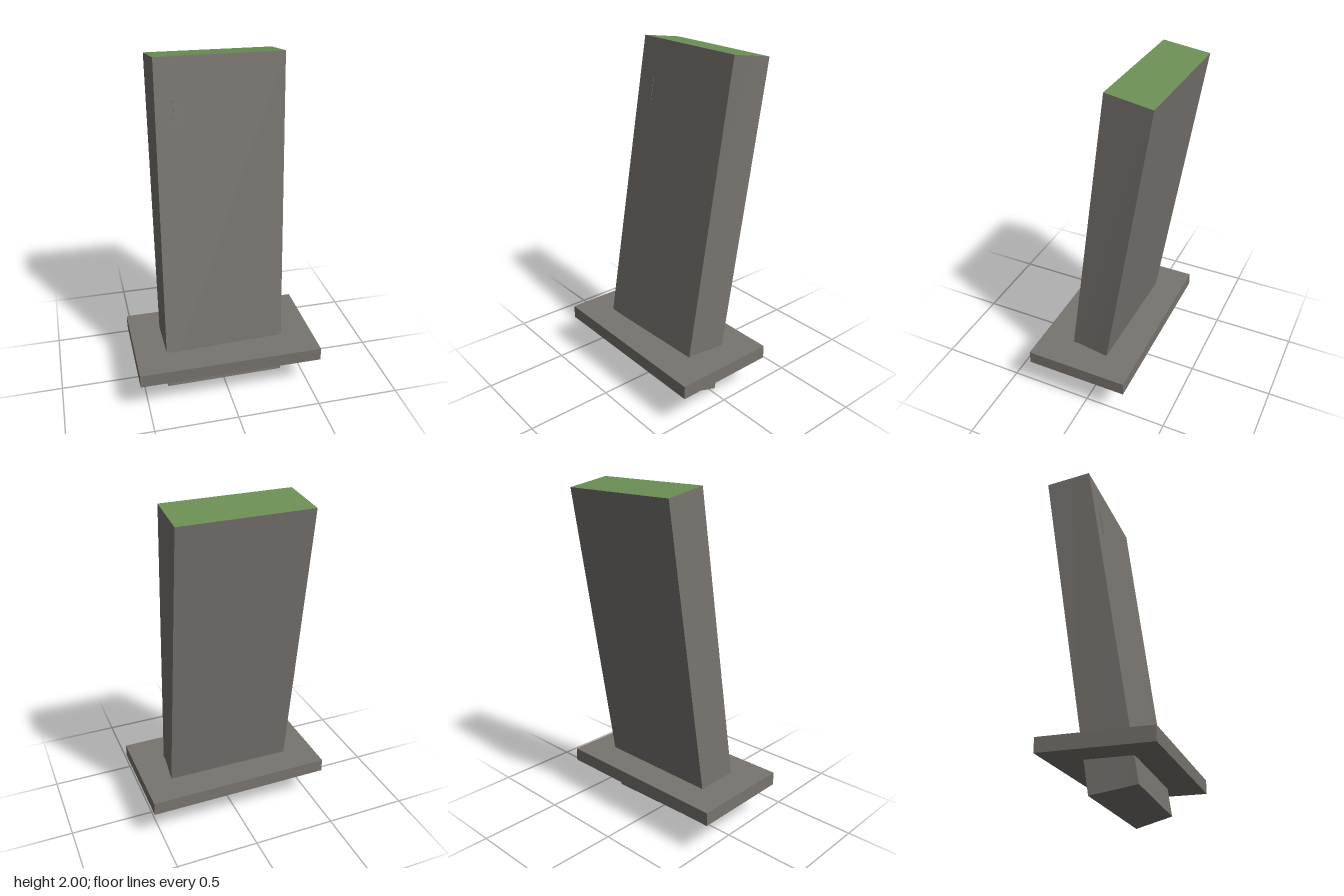
import * as THREE from 'three';

const stone = new THREE.MeshStandardMaterial({ color: 0x78746f });
stone.name = 'grey stone';
const moss = new THREE.MeshStandardMaterial({ color: 0x6b8f54 });
moss.name = 'moss green';

// Corners of the leaning slab: [left end (-x), right end (+x)]
const corners = {
  topFront: [[-0.335, 2.0, -0.095], [0.393, 1.995, -0.09]],
  topBack: [[-0.348, 1.962, -0.355], [0.393, 1.955, -0.345]],
  bottomFront: [[-0.368, 0.066, 0.21], [0.353, 0.051, 0.187]],
  bottomBack: [[-0.368, 0.028, -0.047], [0.383, 0.0, -0.033]],
};

// Box whose eight corners are moved to the slab corners
function slabGeometry() {
  const g = new THREE.BoxGeometry(2, 2, 2);
  const p = g.attributes.position;
  for (let i = 0; i < p.count; i++) {
    const key = (p.getY(i) > 0 ? 'top' : 'bottom') + (p.getZ(i) > 0 ? 'Front' : 'Back');
    p.setXYZ(i, ...corners[key][p.getX(i) > 0 ? 1 : 0]);
  }
  g.computeVertexNormals();
  return g;
}

// Point on the slab's front face for a given x and y
function frontPoint(x, y) {
  const u = (x + 0.36) / 0.73;
  const v = (y - 0.06) / 1.94;
  const edge = (pair) => THREE.MathUtils.lerp(pair[0][2], pair[1][2], u);
  return new THREE.Vector3(x, y, THREE.MathUtils.lerp(edge(corners.bottomFront), edge(corners.topFront), v));
}

export function createModel() {
  const model = new THREE.Group();
  model.name = 'leaningHeadstone';
  const add = (name, geometry, material) => {
    const mesh = new THREE.Mesh(geometry, material);
    mesh.name = name;
    model.add(mesh);
    return mesh;
  };

  // Leaning slab with a mossy top
  add('slab', slabGeometry(), [stone, stone, moss, stone, stone, stone]);

  // Flat plinth around the foot
  add('plinth', new THREE.BoxGeometry(1.1, 0.08, 0.615), stone).position.set(0, 0.25, 0.044);

  // Shallow chips on the front face
  for (const [name, x, y, w, h] of [
    ['lowerChip', -0.042, 0.912, 0.024, 0.125],
    ['upperChip', -0.228, 1.71, 0.024, 0.16],
  ]) {
    const chip = add(name, new THREE.BoxGeometry(w, h, 0.006), stone);
    chip.position.copy(frontPoint(x, y));
    chip.rotation.x = -Math.atan2(0.29, 1.94);
  }
  return model;
}
